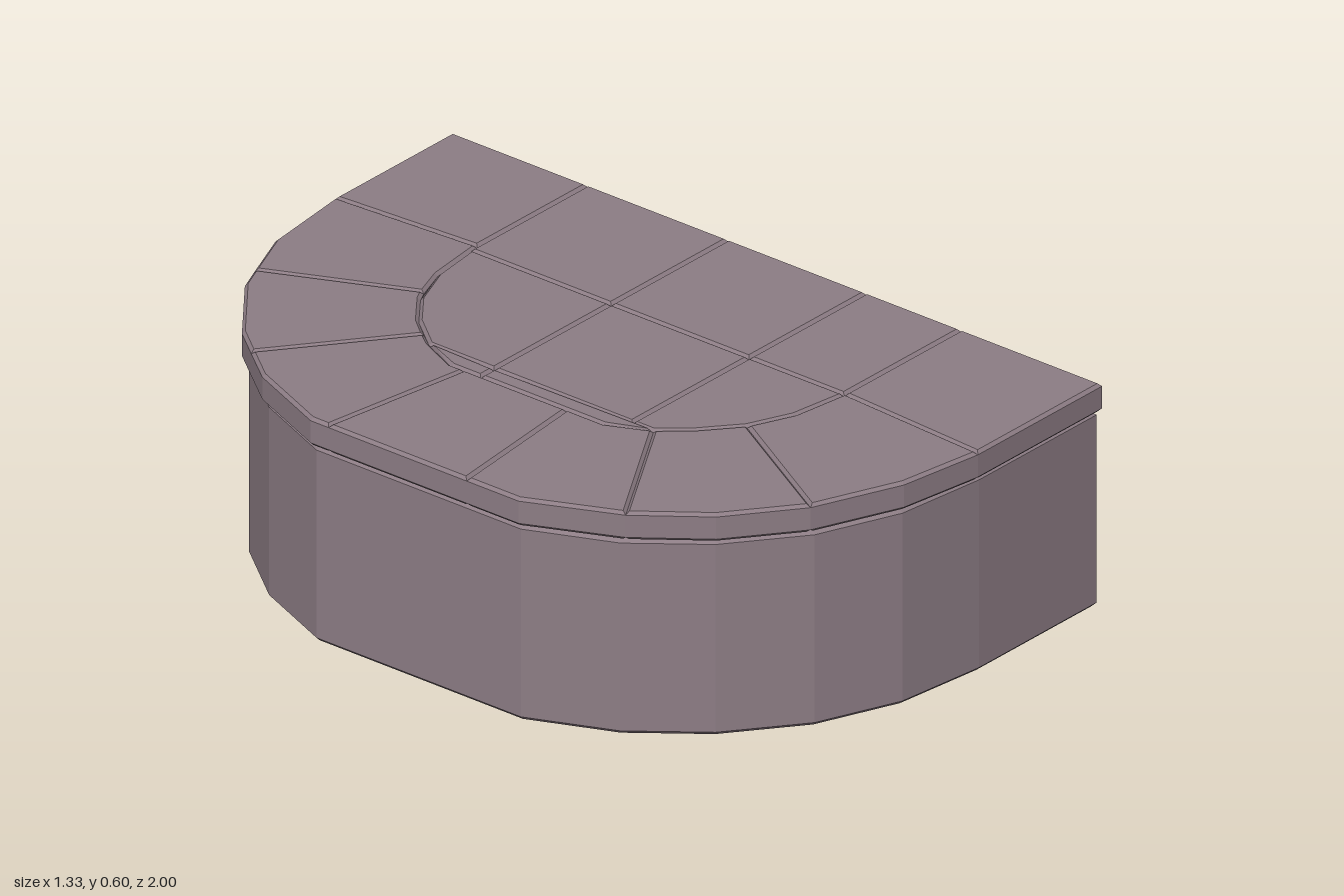
import * as THREE from 'three';

const RIGHT = 0.667;

// Upright prism from [x, z] corners, chamfered inside its own outline
function slab(name, pts, y0, y1, bevel, material) {
  const shape = new THREE.Shape(pts.map(([x, z]) => new THREE.Vector2(x, z)));
  const geo = new THREE.ExtrudeGeometry(shape, {
    depth: y1 - y0 - 2 * bevel,
    bevelEnabled: bevel > 0,
    bevelSize: bevel,
    bevelThickness: bevel,
    bevelOffset: -bevel,
    bevelSegments: 1,
  });
  geo.rotateX(Math.PI / 2);
  geo.translate(0, y1 - bevel, 0);
  const mesh = new THREE.Mesh(geo, material);
  mesh.name = name;
  return mesh;
}

export function createModel() {
  const group = new THREE.Group();
  group.name = 'roundedStep';
  const stone = new THREE.MeshStandardMaterial({ color: 0x8d7d85 });
  stone.name = 'mauve stone';
  const add = (...args) => group.add(slab(...args, stone));

  // Half-round plan, mirrored front to back
  const quarter = [[RIGHT, -1], [0.23, -1], [-0.02, -0.97], [-0.24, -0.88],
    [-0.43, -0.73], [-0.57, -0.55], [-0.667, -0.32]];
  const plan = [...quarter, ...quarter.map(([x, z]) => [x, -z]).reverse()];
  const inset = (sx, sz) => plan.map(([x, z]) => [RIGHT + (x - RIGHT) * sx, z * sz]);

  // Body: curved wall around a solid core
  const wallInner = inset(0.918, 0.89);
  add('curvedWall', [...inset(0.989, 0.983), ...wallInner.slice().reverse()], 0, 0.52, 0.01);
  add('core', wallInner, 0, 0.526, 0);

  // Border slabs: [outer corners, inner corners], seams shared by neighbours
  const border = [
    [[[RIGHT, -1], [0.235, -1]], [[RIGHT, -0.583], [0.26, -0.583]]],
    [[[0.235, -1], [-0.02, -0.97], [-0.17, -0.909]], [[0.26, -0.583], [0.09, -0.562], [0, -0.53]]],
    [[[-0.17, -0.909], [-0.24, -0.88], [-0.43, -0.73], [-0.495, -0.647]],
      [[0, -0.53], [-0.03, -0.515], [-0.12, -0.445], [-0.165, -0.39]]],
    [[[-0.495, -0.647], [-0.57, -0.55], [-0.667, -0.32], [-0.667, -0.265]],
      [[-0.165, -0.39], [-0.195, -0.35], [-0.245, -0.24], [-0.245, -0.2]]],
    [[[-0.667, -0.265], [-0.667, 0.16]], [[-0.245, -0.2], [-0.245, 0.115]]],
    [[[-0.667, 0.16], [-0.667, 0.32], [-0.56, 0.56]], [[-0.245, 0.115], [-0.245, 0.23], [-0.195, 0.34]]],
    [[[-0.56, 0.56], [-0.43, 0.73], [-0.25, 0.87]],
      [[-0.195, 0.34], [-0.13, 0.415], [-0.035, 0.495]]],
    [[[-0.25, 0.87], [-0.02, 0.965], [0.21, 1]], [[-0.035, 0.495], [0.08, 0.545], [0.238, 0.567]]],
    [[[0.21, 1], [RIGHT, 1]], [[0.238, 0.567], [RIGHT, 0.567]]],
  ];
  border.forEach(([outer, inner], i) =>
    add(`borderSlab${i + 1}`, [...outer, ...inner.slice().reverse()], 0.525, 0.6, 0.008));

  // Raised bed under the centre tiles
  const bed = border.flatMap(([, inner]) => inner.slice(0, -1));
  bed.push([RIGHT, 0.567]);
  add('centreBed', bed, 0.52, 0.552, 0);

  // Centre tiles
  const rows = [-0.583, -0.15, 0.275, 0.567];
  const [x0, x1] = [-0.195, 0.235];
  const rect = (a, b, c, d) => [[a, c], [b, c], [b, d], [a, d]];
  const centre = [
    ...[0, 1, 2].map((i) => rect(x1, RIGHT, rows[i], rows[i + 1])),
    rect(x0, x1, rows[1], rows[2]),
    [[x1, -0.58], [0.09, -0.562], [-0.03, -0.515], [-0.12, -0.445], [x0, -0.35], [x0, rows[1]], [x1, rows[1]]],
    [[x0, rows[2]], [x1, rows[2]], [x1, 0.567], [0.08, 0.545], [-0.035, 0.495], [-0.13, 0.415], [x0, 0.34]],
    [[x0, -0.345], [-0.245, -0.24], [-0.245, rows[1]], [x0, rows[1]]],
    [[x0, rows[1]], [-0.245, rows[1]], [-0.245, 0.23], [x0, 0.335]],
  ];
  centre.forEach((pts, i) => add(`centreTile${i + 1}`, pts, 0.55, 0.6, 0.008));

  return group;
}
